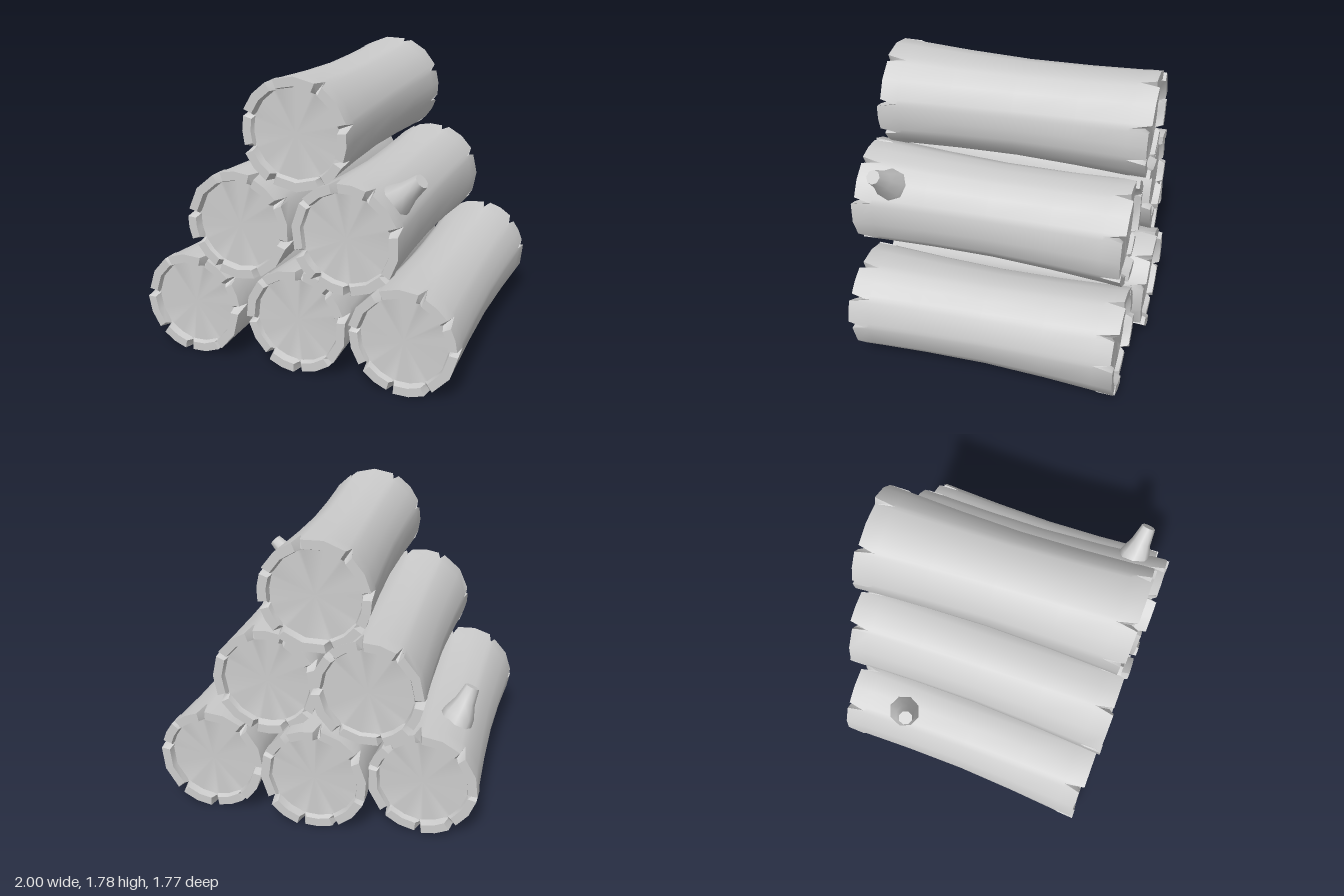
import * as THREE from 'three';
import { toCreasedNormals } from 'three/addons/utils/BufferGeometryUtils.js';

// Angles (degrees) of the splits around a log end, before each log's own roll
const SPLITS = [0, 60, 93, 130, 180, 234, 280, 318];
const SPLIT_HALF = 0.07, SPLIT_DEPTH = 0.11, RECESS = 0.05, TWIST = 0.2;

// Columns around the log: each split gives edge, centre, edge, then one mid-arc column
function makeColumns(roll) {
  const columns = [];
  SPLITS.forEach((deg, k) => {
    const a = THREE.MathUtils.degToRad(deg + roll);
    const next = THREE.MathUtils.degToRad((SPLITS[k + 1] ?? 360) + roll);
    columns.push({ angle: a - SPLIT_HALF, piece: k });
    columns.push({ angle: a, piece: k, split: true });
    columns.push({ angle: a + SPLIT_HALF, piece: k + 1 });
    columns.push({ angle: (a + next) / 2, piece: k + 1 });
  });
  return columns;
}

// One closed skin: back cap, back rim, waisted bark, front rim, front cap
function logGeometry({ front, back, roll }) {
  const columns = makeColumns(roll);
  const n = columns.length;
  const [fx, fy, fz] = front, [bx, by, bz] = back;

  // end: -1 back, 1 front, 0 bark; inset: distance in from that end
  const loops = [
    { end: -1, r: 0, inset: RECESS },
    { end: -1, r: 0.262, inset: RECESS },
    { end: -1, r: 0.272, inset: 0, rim: RECESS - 0.005 },
    { end: -1, r: 0.325, inset: 0, rim: SPLIT_DEPTH },
    { end: 0, t: 0.08, r: 0.318 },
    { end: 0, t: 0.27, r: 0.303 },
    { end: 0, t: 0.5, r: 0.294 },
    { end: 0, t: 0.73, r: 0.303 },
    { end: 0, t: 0.92, r: 0.318 },
    { end: 1, r: 0.325, inset: 0, rim: SPLIT_DEPTH },
    { end: 1, r: 0.272, inset: 0, rim: RECESS - 0.005 },
    { end: 1, r: 0.262, inset: RECESS },
    { end: 1, r: 0, inset: RECESS },
  ];

  const positions = [], indices = [];
  loops.forEach((loop, i) => {
    columns.forEach(({ angle, piece, split }) => {
      let z;
      if (loop.end === 0) {
        z = bz + (fz - bz) * loop.t;
      } else {
        // Each piece of rim stands a little differently
        const uneven = 0.012 * (1 + Math.sin((piece % SPLITS.length) * 2.3 + loop.end + roll));
        let inset = loop.inset;
        if (loop.rim) inset = split ? loop.rim : uneven;
        z = (loop.end > 0 ? fz : bz) - loop.end * inset;
      }
      const t = (z - bz) / (fz - bz);
      const a = angle + TWIST * (1 - t);
      positions.push(
        bx + (fx - bx) * t + Math.cos(a) * loop.r,
        by + (fy - by) * t + Math.sin(a) * loop.r,
        z
      );
    });
    if (i === 0) return;
    for (let j = 0; j < n; j++) {
      const k = (j + 1) % n, p = (i - 1) * n, q = i * n;
      if (loops[i - 1].r > 0) indices.push(p + j, p + k, q + j);
      if (loop.r > 0) indices.push(p + k, q + k, q + j);
    }
  });

  const geometry = new THREE.BufferGeometry();
  geometry.setAttribute('position', new THREE.Float32BufferAttribute(positions, 3));
  geometry.setIndex(indices);
  return toCreasedNormals(geometry, 0.6);
}

// Sawn-off branch, flared where it leaves the bark
function stubMesh(from, to, material) {
  const a = new THREE.Vector3(...from), b = new THREE.Vector3(...to);
  const length = a.distanceTo(b);
  const profile = [[0.105, 0], [0.095, 0.3], [0.062, 0.62], [0.044, 1], [0, 1]]
    .map(([r, t]) => new THREE.Vector2(r, t * length));
  const mesh = new THREE.Mesh(toCreasedNormals(new THREE.LatheGeometry(profile, 8), 0.85), material);
  mesh.position.copy(a);
  mesh.quaternion.setFromUnitVectors(new THREE.Vector3(0, 1, 0), b.sub(a).normalize());
  mesh.name = 'branchStub';
  return mesh;
}

export function createModel() {
  const wood = new THREE.MeshStandardMaterial({ color: 0xcccccc });
  wood.name = 'plain wood';

  const model = new THREE.Group();
  model.name = 'logPile';

  // Centres of the front and back ends of every log
  const logs = [
    { name: 'bottomRightLog', front: [-0.675, 0.33, 0.85], back: [-0.63, 0.335, -0.79], roll: 303 },
    { name: 'bottomMiddleLog', front: [0.01, 0.33, 0.82], back: [-0.005, 0.33, -0.89], roll: 314 },
    { name: 'bottomLeftLog', front: [0.672, 0.33, 0.815], back: [0.65, 0.33, -0.83], roll: 300 },
    { name: 'middleRightLog', front: [-0.33, 0.895, 0.865], back: [-0.31, 0.895, -0.83], roll: 113 },
    { name: 'middleLeftLog', front: [0.352, 0.92, 0.885], back: [0.302, 0.87, -0.78], roll: 143 },
    { name: 'topLog', front: [0.02, 1.458, 0.815], back: [-0.012, 1.448, -0.83], roll: 242 },
  ];
  for (const log of logs) {
    const mesh = new THREE.Mesh(logGeometry(log), wood);
    mesh.name = log.name;
    model.add(mesh);
  }

  // Branch stubs on two of the logs
  model.add(stubMesh([0.52, 1.07, 0.65], [0.725, 1.255, 0.685], wood));
  model.add(stubMesh([-0.755, 0.56, -0.425], [-0.845, 0.79, -0.355], wood));

  return model;
}
